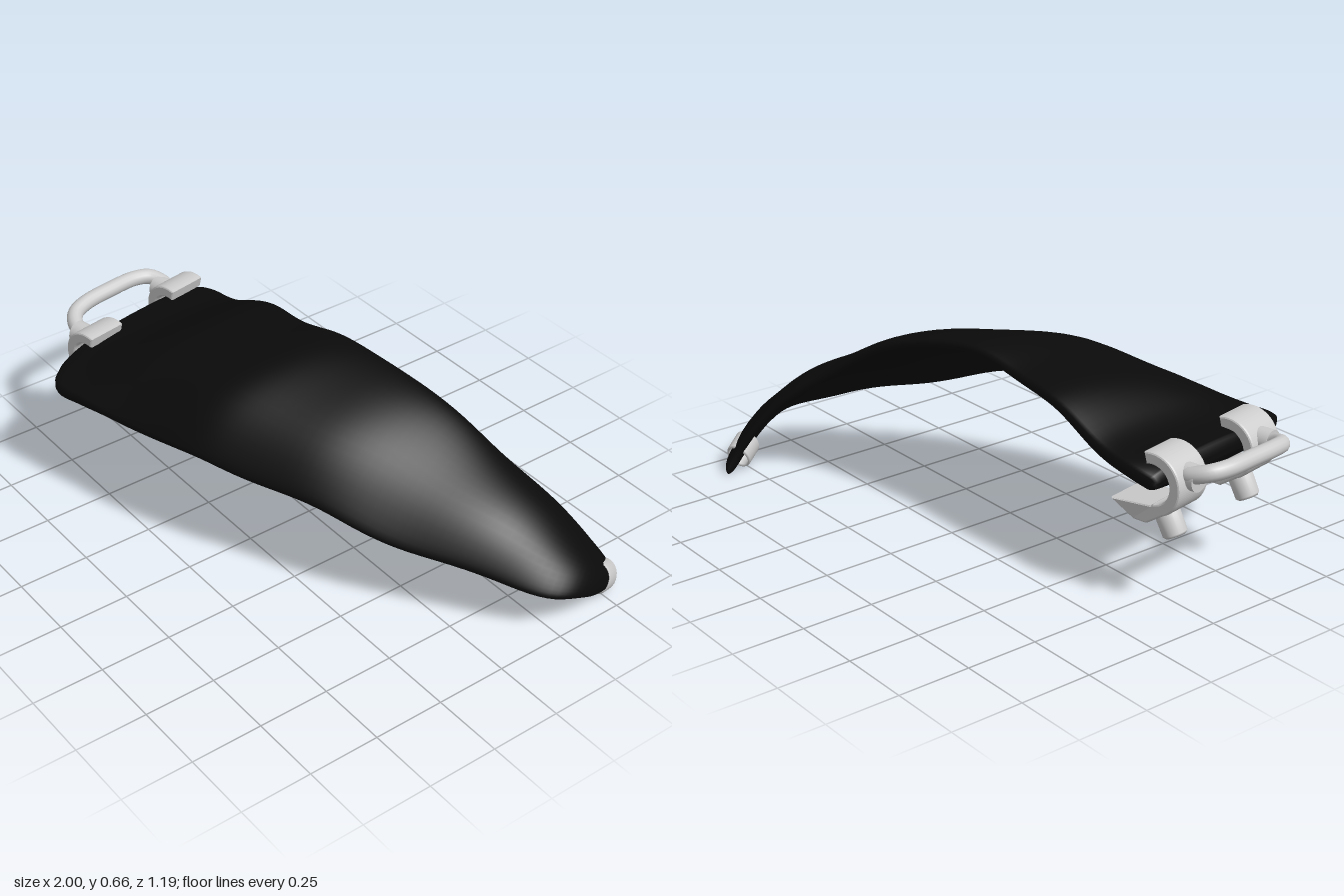
import * as THREE from 'three';

const V = (x, y, z) => new THREE.Vector3(x, y, z);
const grey = new THREE.MeshStandardMaterial({ color: 0xcccccc });
const greyThin = new THREE.MeshStandardMaterial({ color: 0xcccccc, side: THREE.DoubleSide });
const black = new THREE.MeshStandardMaterial({ color: 0x0a0a0a });

function add(parent, name, geometry, material = grey) {
  const mesh = new THREE.Mesh(geometry, material);
  mesh.name = name;
  parent.add(mesh);
  return mesh;
}

// Three guide lines along the strap: back edge, middle and front edge
const guide = (pts) => new THREE.CatmullRomCurve3(pts.map((p) => V(...p)), false, 'catmullrom');
const backEdge = guide([
  [-0.84, 0.43, -0.11], [-0.76, 0.46, -0.14], [-0.6, 0.495, -0.145], [-0.4, 0.575, -0.15], [-0.2, 0.61, -0.145],
  [0, 0.635, -0.17], [0.2, 0.62, -0.215], [0.4, 0.535, -0.28], [0.57, 0.425, -0.355], [0.71, 0.3, -0.435],
  [0.8, 0.2, -0.5], [0.85, 0.1, -0.55], [0.87, 0.025, -0.585], [0.875, 0.005, -0.595]]);
const middle = guide([
  [-0.8, 0.435, 0.2], [-0.71, 0.445, 0.2], [-0.57, 0.475, 0.22], [-0.38, 0.552, 0.2], [-0.16, 0.578, 0.19],
  [0.03, 0.585, 0.14], [0.24, 0.555, 0.06], [0.44, 0.49, -0.06], [0.64, 0.41, -0.16], [0.8, 0.315, -0.26],
  [0.9, 0.225, -0.35], [0.93, 0.135, -0.44], [0.91, 0.05, -0.54], [0.89, 0.008, -0.585]]);
const frontEdge = guide([
  [-0.73, 0.41, 0.5], [-0.65, 0.413, 0.592], [-0.52, 0.41, 0.575], [-0.36, 0.41, 0.53], [-0.1, 0.41, 0.46],
  [0.08, 0.405, 0.39], [0.3, 0.37, 0.28], [0.5, 0.315, 0.17], [0.68, 0.257, 0.04], [0.85, 0.207, -0.1],
  [0.975, 0.16, -0.22], [0.995, 0.115, -0.34], [0.955, 0.055, -0.47], [0.905, 0.012, -0.57]]);

// Point on the strap's middle surface, u along and t across, fuller to the front, with soft folds
function surface(u, t) {
  const p = V(0, 0, 0)
    .addScaledVector(backEdge.getPoint(u), 2 * (t - 0.5) * (t - 1))
    .addScaledVector(middle.getPoint(u), 4 * t * (1 - t))
    .addScaledVector(frontEdge.getPoint(u), 2 * t * (t - 0.5));
  p.y += 0.028 * (1 - u) * Math.min(1, u * 6) * Math.sin(Math.PI * t * t) ** 2;
  p.y += 0.007 * Math.sin(u * 38 + t * 2) * Math.sin(Math.PI * u);
  return p;
}

// Padded strap: closed rings swept along its length, thickest at the wide blunt end
function strapGeometry() {
  const rows = 90, ring = 44, e = 0.002, pos = [], index = [];
  for (let i = 0; i <= rows; i++) {
    const u = (i / rows) ** 1.3;
    const end = Math.min(1, Math.sqrt(Math.min(u * 45, (1 - u) * 12)));
    const thick = 0.024 + 0.027 * (1 - u) ** 3;
    for (let j = 0; j < ring; j++) {
      const a = (j / ring) * Math.PI * 2, t = (1 - Math.cos(a)) / 2, s = Math.sin(a);
      const u0 = Math.max(0, u - e), u1 = Math.min(1, u + e);
      const du = surface(u1, t).sub(surface(u0, t));
      const dt = surface(u, t + e).sub(surface(u, t - e));
      const n = dt.cross(du).normalize();
      const h = thick * end * Math.sign(s) * Math.pow(Math.abs(s), 0.45 + 0.2 * u);
      pos.push(...surface(u, t).addScaledVector(n, h).toArray());
      if (i < rows) {
        const k = (j + 1) % ring, r = i * ring;
        index.push(r + j, r + k, r + ring + j, r + k, r + ring + k, r + ring + j);
      }
    }
  }
  const g = new THREE.BufferGeometry();
  g.setAttribute('position', new THREE.Float32BufferAttribute(pos, 3));
  g.setIndex(index);
  g.computeVertexNormals();
  return g;
}

// Clamp with a C-shaped body, a long flared lower jaw and a slanted screw knob
function makeClasp(name, x, y, z) {
  const clasp = new THREE.Group();
  clasp.name = name;
  const s = new THREE.Shape();
  s.absarc(0, 0, 0.098, 1.3, 4.3, false);
  s.lineTo(0.02, -0.13);
  s.lineTo(0.065, -0.13);
  s.lineTo(0.14, -0.085);
  s.lineTo(0, -0.075);
  s.absarc(0, 0, 0.07, 4.6, 1.3, true);
  const body = new THREE.ExtrudeGeometry(s, {
    depth: 0.13, curveSegments: 20, bevelEnabled: true, bevelSize: 0.006, bevelThickness: 0.008, bevelSegments: 2 });
  body.translate(0, 0, -0.065);
  // Widen the jaw towards its tip
  const p = body.attributes.position;
  for (let i = 0; i < p.count; i++) {
    if (p.getX(i) > 0.1) p.setZ(i, p.getZ(i) * 1.15);
  }
  body.computeVertexNormals();
  add(clasp, 'clampJaw', body);
  const profile = [[0, -0.066], [0.032, -0.066], [0.04, -0.058], [0.042, 0.05], [0, 0.05]];
  const knob = add(clasp, 'screwKnob', new THREE.LatheGeometry(profile.map((q) => new THREE.Vector2(...q)), 24));
  knob.position.set(-0.015, -0.125, 0);
  knob.rotation.z = -0.48;
  // Lug that holds the handle
  const lug = add(clasp, 'handleLug', new THREE.CylinderGeometry(0.042, 0.042, 0.05, 20));
  lug.rotation.z = Math.PI / 2;
  lug.position.set(-0.1, 0.03, 0);
  clasp.position.set(x, y, z);
  clasp.rotation.y = 0.18;
  return clasp;
}

export function createModel() {
  const model = new THREE.Group();
  model.name = 'strapWithClasps';
  add(model, 'strap', strapGeometry(), black);
  model.add(makeClasp('backClasp', -0.8, 0.432, -0.03));
  model.add(makeClasp('frontClasp', -0.725, 0.422, 0.355));

  // Looped handle joining both clasps
  const path = new THREE.CatmullRomCurve3([
    V(-0.86, 0.46, -0.03), V(-0.91, 0.475, -0.025), V(-0.955, 0.49, 0.005), V(-0.97, 0.495, 0.06),
    V(-0.96, 0.495, 0.17), V(-0.94, 0.49, 0.29), V(-0.915, 0.48, 0.345), V(-0.87, 0.465, 0.37), V(-0.8, 0.445, 0.36)]);
  add(model, 'handle', new THREE.TubeGeometry(path, 60, 0.028, 14));

  // Flattened metal band around the narrow tip
  const band = new THREE.Group();
  band.name = 'tipBand';
  const axis = V(-0.4, -0.45, -0.8).normalize();
  const across = V(0.85, 0.1, -0.48).addScaledVector(axis, -V(0.85, 0.1, -0.48).dot(axis)).normalize();
  const width = across.clone().cross(axis);
  band.quaternion.setFromRotationMatrix(new THREE.Matrix4().makeBasis(across, axis, width));
  band.position.set(0.912, 0.068, -0.505);
  const outline = [[0.9, -0.043], [1, -0.035], [1, 0.035], [0.9, 0.043], [0.82, 0.035], [0.82, -0.035], [0.9, -0.043]];
  const loop = add(band, 'bandLoop', new THREE.LatheGeometry(outline.map((q) => new THREE.Vector2(...q)), 28), greyThin);
  loop.scale.set(0.045, 1, 0.055);
  model.add(band);
  return model;
}
